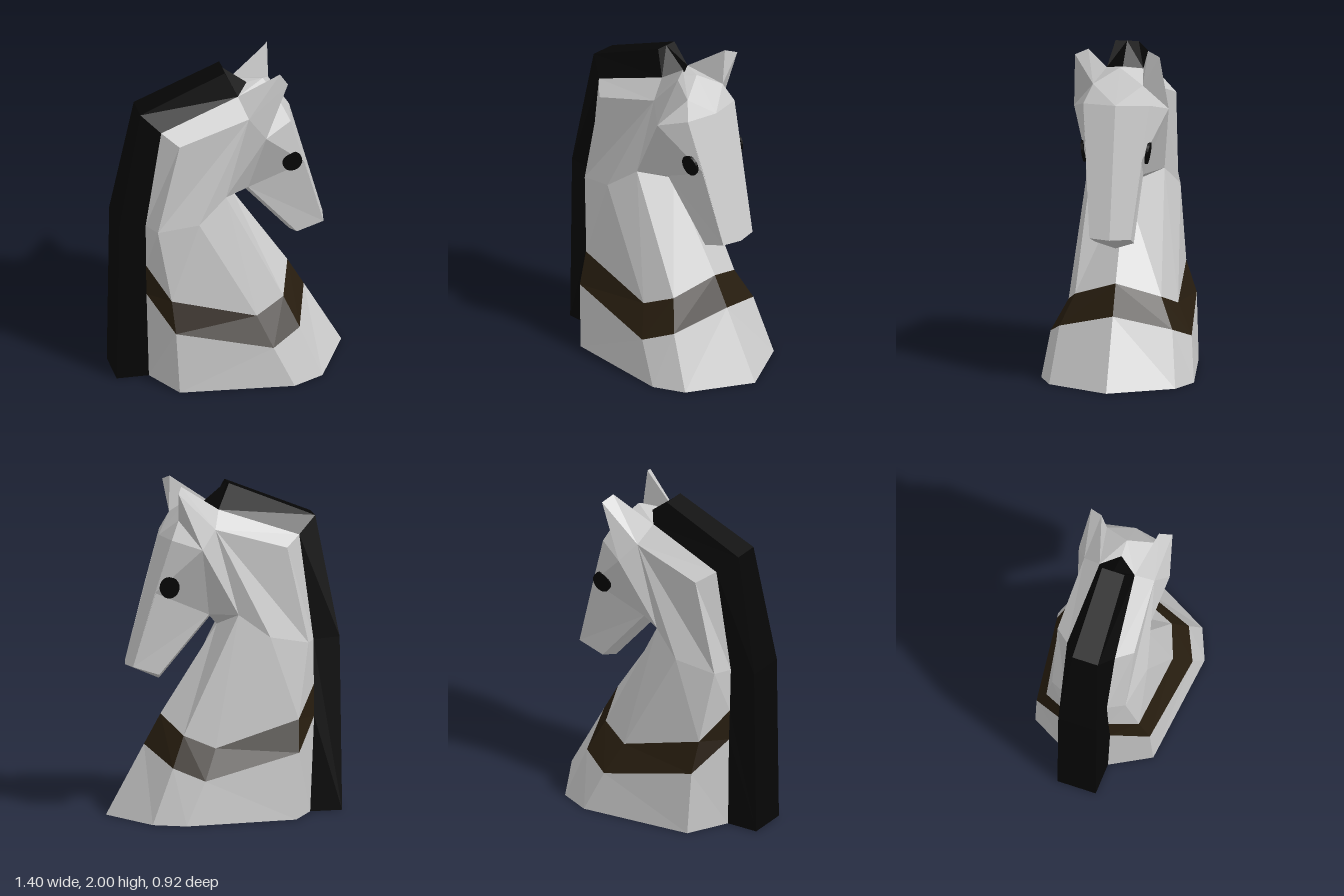
import * as THREE from 'three';

const mat = (color) => new THREE.MeshStandardMaterial({ color, flatShading: true });
const grey = mat(0xcccccc), brown = mat(0x271d0f), black = mat(0x060606);

// Builds a faceted mesh from polygons on the +z side and mirrors them to -z
function shell(name, material, polys) {
  const pos = [];
  for (const p of polys) {
    for (let i = 1; i < p.length - 1; i++) {
      const t = [p[0], p[i], p[i + 1]];
      for (const [x, y, z] of t) pos.push(x, y, z);
      for (const [x, y, z] of t.reverse()) pos.push(x, y, -z);
    }
  }
  const geo = new THREE.BufferGeometry();
  geo.setAttribute('position', new THREE.Float32BufferAttribute(pos, 3));
  geo.computeVertexNormals();
  const mesh = new THREE.Mesh(geo, material);
  mesh.name = name;
  return mesh;
}

// Quads joining two half rings
const loft = (a, b) => a.slice(1).map((p, i) => [a[i], p, b[i + 1], b[i]]);
const mid = ([x, y]) => [x, y, 0];

export function createModel() {
  const group = new THREE.Group();
  group.name = 'horseHead';

  // Half rings from the nape to the chest centre line
  const base = [[-0.51, 0, 0.13], [-0.38, 0, 0.37], [0.3, 0, 0.46], [0.49, 0, 0.38], [0.7, 0, 0]];
  const low = [[-0.53, 0.58, 0.15], [-0.4, 0.4, 0.355], [0.18, 0.26, 0.425], [0.36, 0.33, 0.34], [0.47, 0.42, 0]];
  const high = [[-0.53, 0.77, 0.14], [-0.41, 0.59, 0.29], [0.1, 0.44, 0.33], [0.28, 0.51, 0.26], [0.37, 0.6, 0]];
  const throat = [[-0.53, 1.04, 0.13], [-0.48, 1.04, 0.23], [-0.24, 1.09, 0.285], [-0.06, 1.22, 0.22], [0.03, 1.13, 0]];

  // Mane edge, from the base up to the poll
  const outer = [[-0.705, 0, 0.12], [-0.69, 1.05, 0.12], [-0.55, 1.78, 0.08], [-0.03, 1.99, 0.07]];
  const ridge = outer.map(mid);

  // Head landmarks
  const crestBack = [-0.44, 1.68, 0.15], crestFront = [0.04, 1.84, 0.11], crestEnd = [0.12, 1.865, 0];
  const napeSide = [-0.35, 1.62, 0.24], earBack = [0.08, 1.74, 0.22], earSide = [0.17, 1.63, 0.285];
  const earFront = [0.29, 1.79, 0.15], poll = [0.22, 1.88, 0];
  const brow = [0.34, 1.68, 0.2], browMid = [0.38, 1.68, 0];
  const cheek = [0.435, 1.36, 0.165], jaw = [0.1, 1.21, 0.12], jawMid = [0.07, 1.18, 0];
  const nose = [0.56, 0.91, 0.125], noseMid = [0.585, 0.905, 0];
  const chin = [0.4, 0.855, 0.115], chinMid = [0.38, 0.815, 0];
  const [, napeLow, sideLow, jawBack, throatMid] = throat;

  // Neck, with the underside reaching back beneath the mane
  group.add(shell('chest', grey, loft(base, low)));
  group.add(shell('underside', grey, [
    [mid(base[0]), ...base.slice().reverse()],
    [outer[0], ridge[0], mid(base[0]), base[0]],
  ]));
  group.add(shell('collar', brown, loft(low, high)));
  group.add(shell('neck', grey, [
    ...loft(high, throat),
    [throat[0], napeLow, napeSide, crestBack],
    [napeLow, sideLow, earBack, napeSide],
    [jawBack, earSide, earBack, sideLow],
    [crestBack, napeSide, earBack, crestFront],
  ]));

  // Face, muzzle and forehead
  group.add(shell('head', grey, [
    [earSide, cheek, brow], [earSide, jaw, cheek], [earSide, jawBack, jaw],
    [jaw, chin, nose, cheek],
    [brow, cheek, nose, noseMid, browMid],
    [nose, chin, chinMid, noseMid],
    [chin, jaw, jawMid, chinMid],
    [jaw, jawBack, throatMid, jawMid],
    [earSide, brow, earFront],
    [earFront, brow, browMid, poll],
    [crestFront, earFront, poll, crestEnd],
  ]));

  // Ears
  const tipIn = [0.28, 2, 0.18], tipOut = [0.31, 1.97, 0.255];
  group.add(shell('ears', grey, [
    [earBack, earSide, tipOut], [earSide, earFront, tipOut],
    [earFront, crestFront, tipIn], [crestFront, earBack, tipIn],
    [earBack, tipOut, tipIn], [earFront, tipIn, tipOut],
  ]));

  // Mane
  group.add(shell('mane', black, [
    [outer[0], base[0], low[0], high[0], throat[0], outer[1]],
    [outer[1], throat[0], crestBack, outer[2]],
    [outer[2], crestBack, crestFront, outer[3]],
    [crestFront, crestEnd, ridge[3], outer[3]],
    ...loft(outer, ridge),
  ]));

  // Eyes: thin oval discs
  for (const s of [1, -1]) {
    const eye = new THREE.Mesh(new THREE.CylinderGeometry(0.066, 0.066, 0.016, 20), black);
    eye.name = s > 0 ? 'leftEye' : 'rightEye';
    eye.scale.x = 0.9;
    eye.position.set(0.352, 1.395, 0.192 * s);
    eye.rotation.x = s * (Math.PI / 2 + 0.15);
    group.add(eye);
  }
  return group;
}
